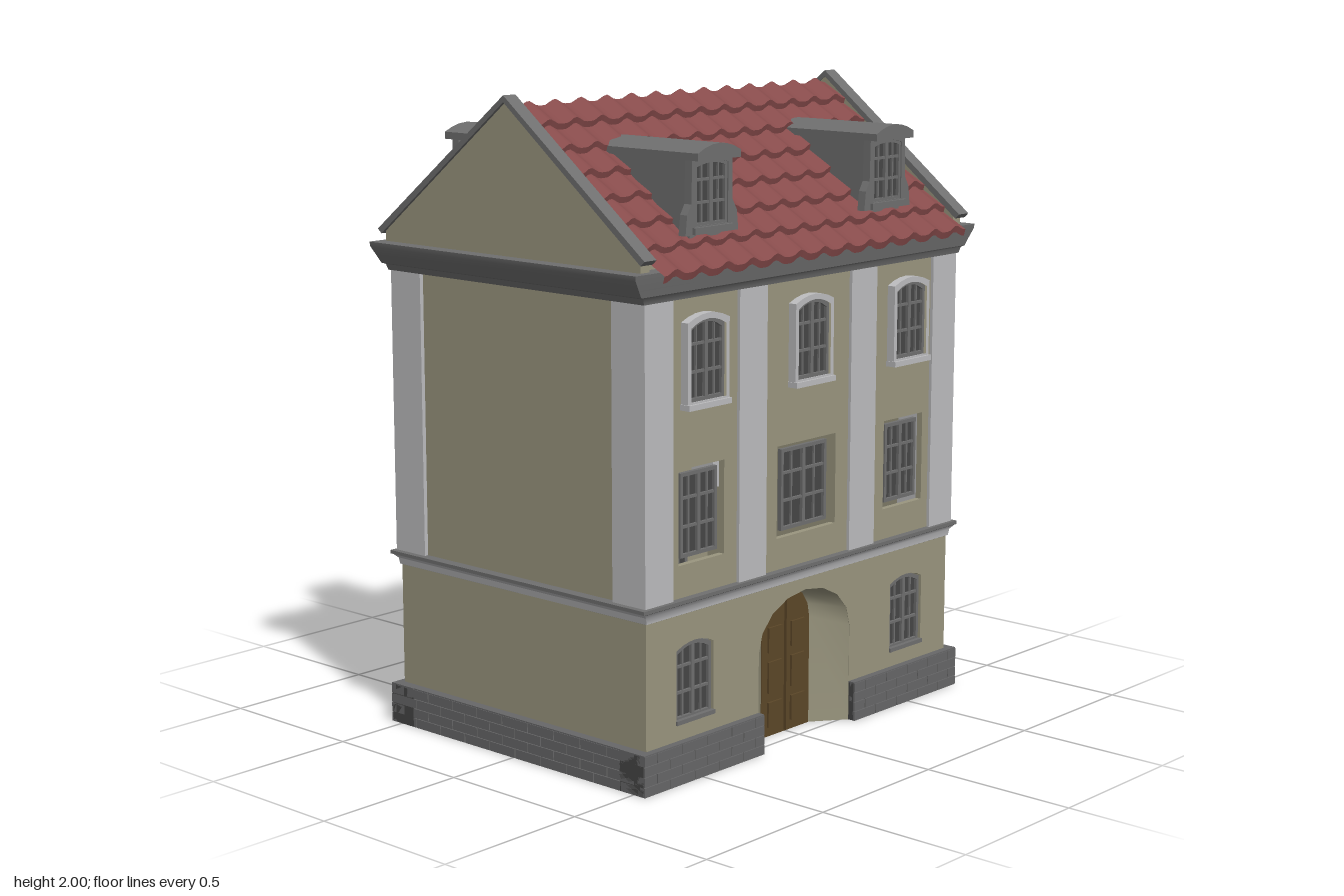
import * as THREE from 'three';
import { toCreasedNormals } from 'three/addons/utils/BufferGeometryUtils.js';

const mat = (name, color, side = THREE.FrontSide) => {
  const m = new THREE.MeshStandardMaterial({ color, side });
  m.name = name;
  return m;
};

export function createModel() {
  const model = new THREE.Group();
  model.name = 'townHouse';
  const plaster = mat('beige plaster', 0x9a967f, THREE.DoubleSide);
  const trim = mat('light grey trim', 0xbcbcbe);
  const stone = mat('grey stone', 0x6f6f6f, THREE.DoubleSide);
  const base = mat('dark base stone', 0x676768);
  const glass = mat('dark glass', 0x464646, THREE.DoubleSide);
  const tile = mat('red roof tile', 0x874b4b, THREE.DoubleSide);
  const wood = mat('brown door wood', 0x5c4728);

  const add = (parent, name, geo, material) => {
    const m = new THREE.Mesh(geo, material);
    m.name = name;
    parent.add(m);
    return m;
  };
  // box given by its limits on each axis
  const box = (parent, name, x0, x1, y0, y1, z0, z1, material) =>
    add(parent, name, new THREE.BoxGeometry(x1 - x0, y1 - y0, z1 - z0)
      .translate((x0 + x1) / 2, (y0 + y1) / 2, (z0 + z1) / 2), material);
  const shapeOf = (pts) => new THREE.Shape(pts.map(([x, y]) => new THREE.Vector2(x, y)));
  const pathOf = (pts) => new THREE.Path(pts.map(([x, y]) => new THREE.Vector2(x, y)));
  const plate = (shape, z0, z1) =>
    new THREE.ExtrudeGeometry(shape, { depth: z1 - z0, bevelEnabled: false }).translate(0, 0, z0);
  // profile in (z, y), extruded along x
  const sidePlate = (pts, x0, x1) =>
    new THREE.ExtrudeGeometry(shapeOf(pts.map(([z, y]) => [-z, y])), { depth: x1 - x0, bevelEnabled: false })
      .rotateY(Math.PI / 2).translate(x0, 0, 0);
  const meshOf = (positions, index) => {
    const g = new THREE.BufferGeometry();
    g.setAttribute('position', new THREE.Float32BufferAttribute(positions, 3));
    g.setIndex(index);
    return toCreasedNormals(g, 0.6);
  };
  // opening outline with an arched head: half width, bottom, spring, top
  const archPts = (cx, w, y0, spring, top, n = 8) => {
    const pts = [[cx - w, y0]];
    for (let i = 0; i <= n; i++) {
      const a = Math.PI * (1 - i / n);
      pts.push([cx + w * Math.cos(a), spring + (top - spring) * Math.sin(a)]);
    }
    pts.push([cx + w, y0]);
    return pts;
  };
  const segPts = (cx, w, y0, y1, rise) => {
    const pts = [[cx - w, y0]];
    for (let i = 0; i <= 6; i++) {
      const t = i / 3 - 1;
      pts.push([cx + w * t, y1 - rise * t * t]);
    }
    pts.push([cx + w, y0]);
    return pts;
  };
  const ring = (outer, inner, z0, z1) => {
    const s = shapeOf(outer);
    s.holes.push(pathOf(inner));
    return plate(s, z0, z1);
  };

  // glazed casement with glazing bars
  const casement = (parent, cx, w, y0, y1, rise, z) => {
    const g = new THREE.Group();
    g.name = 'window';
    parent.add(g);
    const outline = segPts(cx, w, y0, y1, rise), b = 0.011;
    add(g, 'glassPane', new THREE.ShapeGeometry(shapeOf(outline)).translate(0, 0, z), glass);
    add(g, 'sash', ring(outline, segPts(cx, w - b, y0 + b, y1 - b, rise), z - 0.004, z + 0.01), stone);
    box(g, 'mullion', cx - 0.007, cx + 0.007, y0, y1 - 0.004, z, z + 0.01, stone);
    for (const s of [-1, 1])
      box(g, 'thinBar', cx + s * w / 2 - 0.003, cx + s * w / 2 + 0.003, y0, y1 - rise * 0.3, z, z + 0.006, stone);
    for (const t of [0.36, 0.7]) {
      const y = y0 + (y1 - y0) * t;
      box(g, 'crossBar', cx - w, cx + w, y - 0.004, y + 0.004, z, z + 0.008, stone);
    }
  };

  // rows of base stones in front of a core, along x
  const stoneRun = (parent, x0, x1, z) => {
    box(parent, 'baseCore', x0, x1, 0, 0.122, z - 0.1, z - 0.006, glass);
    for (let r = 0; r < 4; r++) {
      const y = r * 0.031;
      let x = x0;
      let end = x0 + (r % 2 ? 0.055 : 0.11);
      while (x < x1 - 0.001) {
        if (x1 - end < 0.03) end = x1;
        box(parent, 'baseStone', x, end - (end < x1 ? 0.003 : 0), y, y + 0.029, z - 0.02, z, base);
        x = end;
        end = Math.min(x1, x + 0.11);
      }
    }
    box(parent, 'baseTop', x0, x1, 0.12, 0.126, z - 0.1, z - 0.002, base);
  };

  const dormer = (parent, cx) => {
    const g = new THREE.Group();
    g.name = 'dormer';
    g.position.x = cx;
    parent.add(g);
    add(g, 'dormerBody', sidePlate([[0.48, 1.59], [0.48, 1.84], [0.16, 1.84]], -0.08, 0.08), stone);
    const top = segPts(0, 0.093, 1.825, 1.872, 0.025);
    add(g, 'dormerRoof', plate(shapeOf(top), 0.13, 0.525), stone);
    const outer = [[-0.115, 1.61], [-0.108, 1.67], [-0.09, 1.7], [-0.087, 1.83], [0.087, 1.83], [0.09, 1.7], [0.108, 1.67], [0.115, 1.61]];
    add(g, 'dormerSurround', ring(outer, segPts(0, 0.07, 1.635, 1.822, 0.01), 0.47, 0.497), stone);
    box(g, 'dormerSill', -0.085, 0.085, 1.612, 1.632, 0.47, 0.508, stone);
    casement(g, 0, 0.072, 1.632, 1.825, 0.01, 0.483);
  };

  // one street side: wall, windows, pilasters, portal, dormers, base
  const facade = (name, hasDoor) => {
    const f = new THREE.Group();
    f.name = name;
    model.add(f);
    const portal = archPts(0, 0.22, 0, 0.31, 0.47);
    const wall = shapeOf([[-0.72, 0], ...portal, [0.72, 0], [0.72, 1.46], [-0.72, 1.46]]);
    const lower = [-0.51, 0.51], upper = [-0.482, 0, 0.482];
    for (const x of lower) wall.holes.push(pathOf(segPts(x, 0.082, 0.18, 0.42, 0.02)));
    for (const x of upper) wall.holes.push(pathOf(segPts(x, x ? 0.1 : 0.14, 0.655, 0.94, 0)));
    add(f, 'wall', plate(wall, 0.5, 0.52), plaster);

    for (const x of lower) {
      casement(f, x, 0.08, 0.183, 0.417, 0.02, 0.502);
      box(f, 'lowerSill', x - 0.084, x + 0.084, 0.175, 0.188, 0.5, 0.526, stone);
    }
    for (const x of upper) {
      casement(f, x, x ? 0.08 : 0.108, 0.672, 0.925, 0, 0.5);
      add(f, 'windowSurround', ring(segPts(x, 0.09, 1.115, 1.392, 0.022), segPts(x, 0.076, 1.138, 1.375, 0.022), 0.515, 0.548), trim);
      box(f, 'upperSill', x - 0.093, x + 0.093, 1.115, 1.132, 0.515, 0.556, trim);
      casement(f, x, 0.078, 1.136, 1.377, 0.022, 0.528);
    }
    for (const s of [-1, 1]) {
      const a = s * 0.2625, c = s * 0.675;
      box(f, 'pilaster', a - 0.0625, a + 0.0625, 0.545, 1.45, 0.5, 0.53, trim);
      box(f, 'cornerPilaster', c - 0.06, c + 0.06, 0.545, 1.45, 0.4, 0.53, trim);
      dormer(f, s * 0.412);
    }
    stoneRun(f, -0.755, -0.22, 0.545);
    stoneRun(f, 0.22, 0.755, 0.545);

    // splayed portal reveal
    const inner = archPts(0, 0.115, 0, 0.345, 0.462);
    const pos = [], idx = [];
    portal.forEach(([x, y], i) => {
      pos.push(x, y, 0.519, inner[i][0], inner[i][1], 0.44);
      if (i) idx.push(2 * i - 2, 2 * i - 1, 2 * i, 2 * i, 2 * i - 1, 2 * i + 1);
    });
    add(f, 'portalReveal', meshOf(pos, idx), plaster);
    add(f, hasDoor ? 'door' : 'nicheBack', plate(shapeOf(inner), 0.43, 0.442), hasDoor ? wood : plaster);
    if (hasDoor) {
      box(f, 'doorMeetingBar', -0.007, 0.007, 0.005, 0.45, 0.44, 0.452, wood);
      for (const x of [-0.055, 0.055])
        for (const [y0, y1] of [[0.03, 0.11], [0.14, 0.24], [0.27, 0.35]])
          box(f, 'doorPanel', x - 0.032, x + 0.032, y0, y1, 0.44, 0.449, wood);
    }

    // stepped rows of wavy tiles
    const rows = 7, cols = 104, half = 0.71, tp = [], ti = [];
    for (let r = 0; r < rows; r++)
      for (let e = 0; e < 3; e++)
        for (let i = 0; i <= cols; i++) {
          const x = -half + (2 * half * i) / cols;
          const z = 0.577 * (r + (e ? 1 : 0)) / rows;
          const wave = 0.016 * Math.abs(Math.cos(Math.PI * x / 0.11)) ** 4;
          const lift = e === 1 ? 0.017 : e === 2 ? -0.004 : 0;
          tp.push(x, 1.962 - 0.79 * z + wave + lift, z + (e === 1 ? 0.006 : 0));
        }
    const n = cols + 1;
    for (let r = 0; r < rows; r++)
      for (let e = 0; e < 2; e++)
        for (let i = 0; i < cols; i++) {
          const a = (r * 3 + e) * n + i, b = a + n;
          ti.push(a, b, a + 1, a + 1, b, b + 1);
        }
    add(f, 'tiledRoofSlope', meshOf(tp, ti), tile);
    return f;
  };
  facade('frontSide', true);
  facade('backSide', false).rotation.y = Math.PI;

  // gable ends with raised copings
  for (const s of [-1, 1]) {
    const e = new THREE.Group();
    e.name = s > 0 ? 'leftEnd' : 'rightEnd';
    e.rotation.y = s > 0 ? 0 : Math.PI;
    model.add(e);
    box(e, 'endWall', 0.7, 0.722, 0, 1.53, -0.52, 0.52, plaster);
    add(e, 'gable', sidePlate([[-0.53, 1.525], [0.53, 1.525], [0.53, 1.572], [0, 1.988], [-0.53, 1.572]], 0.715, 0.752), plaster);
    add(e, 'gableCoping', sidePlate([[-0.555, 1.567], [-0.54, 1.553], [0, 1.98], [0.54, 1.553], [0.555, 1.567], [0, 2]], 0.712, 0.762), stone);
    const g = new THREE.Group();
    g.name = 'sideBase';
    g.rotation.y = Math.PI / 2;
    stoneRun(g, -0.54, 0.54, 0.755);
    e.add(g);
  }

  // mouldings running round the house, each level: y, half width, half depth
  const moulding = (name, levels, material) => {
    const pos = [], idx = [];
    levels.forEach(([y, w, d], k) => {
      pos.push(-w, y, d, w, y, d, w, y, -d, -w, y, -d);
      if (k) for (let i = 0; i < 4; i++) {
        const a = 4 * k - 4 + i, b = 4 * k - 4 + (i + 1) % 4;
        idx.push(a, b, b + 4, a, b + 4, a + 4);
      }
    });
    add(model, name, meshOf(pos, idx), material);
  };
  moulding('stringCourse', [[0.505, 0.715, 0.515], [0.51, 0.726, 0.526], [0.53, 0.73, 0.528], [0.543, 0.745, 0.538]], trim);
  moulding('stringCourseCap', [[0.543, 0.745, 0.538], [0.545, 0.752, 0.541], [0.556, 0.752, 0.541], [0.558, 0.715, 0.515]], stone);
  moulding('cornice', [[1.44, 0.71, 0.51], [1.44, 0.742, 0.534], [1.458, 0.748, 0.538], [1.463, 0.762, 0.543],
    [1.485, 0.776, 0.547], [1.515, 0.796, 0.553], [1.53, 0.798, 0.555], [1.531, 0.7, 0.5]], stone);

  box(model, 'floorSlab', -0.72, 0.72, 0, 0.012, -0.44, 0.44, base);
  return model;
}
